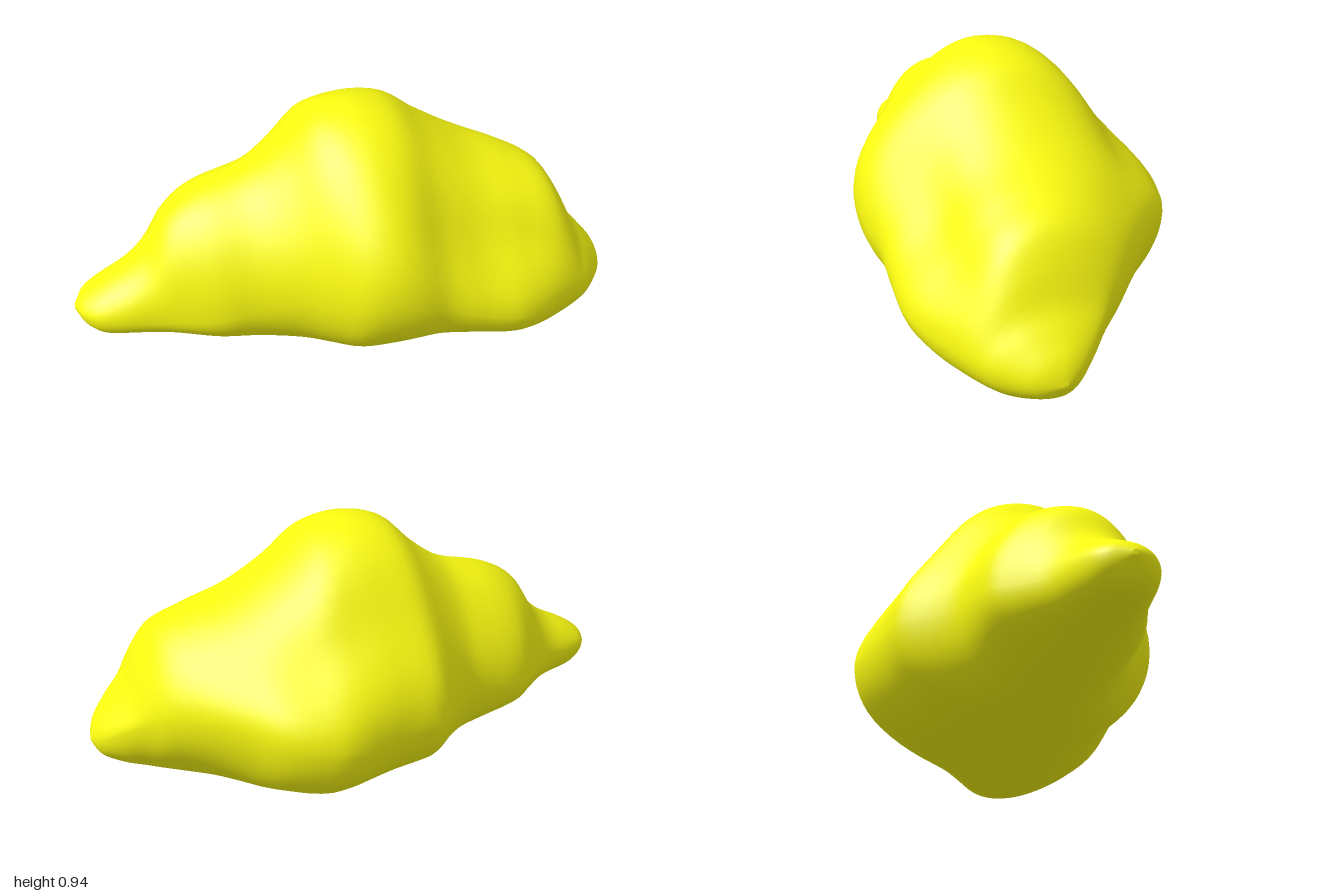
import * as THREE from 'three';

// Outline curves along the length: pairs of [x, value]
const top = [[-1, .265], [-.97, .3], [-.9, .345], [-.8, .4], [-.72, .475], [-.65, .585], [-.53, .66], [-.36, .71], [-.3, .74], [-.2, .82],
  [-.12, .9], [-.05, .93], [.04, .94], [.12, .93], [.2, .9], [.3, .82], [.42, .74], [.5, .7], [.62, .655], [.75, .59], [.82, .48],
  [.86, .385], [.92, .31], [.97, .25], [.99, .21], [1, .172]];
const bottom = [[-1, .245], [-.96, .19], [-.9, .155], [-.8, .145], [-.65, .125], [-.5, .085], [-.35, .05], [-.2, .025], [0, .003],
  [.2, .01], [.3, .01], [.4, .02], [.6, .015], [.72, .015], [.86, .045], [.95, .09], [.98, .12], [1, .162]];
const back = [[-1, .07], [-.97, 0], [-.92, -.04], [-.75, -.11], [-.65, -.19], [-.57, -.255], [-.4, -.29], [-.33, -.31], [-.25, -.37],
  [-.15, -.47], [-.1, -.485], [0, -.5], [.1, -.525], [.2, -.55], [.28, -.55], [.43, -.495], [.55, -.39], [.68, -.275], [.77, -.19],
  [.83, -.115], [.9, -.04], [.96, .03], [.985, .07], [1, .11]];
const front = [[-1, .09], [-.97, .15], [-.9, .2], [-.7, .24], [-.5, .31], [-.35, .335], [-.2, .39], [-.1, .46], [-.02, .52], [.08, .545],
  [.18, .54], [.28, .515], [.4, .515], [.55, .51], [.65, .475], [.75, .42], [.85, .36], [.9, .32], [.97, .23], [.99, .18], [1, .13]];
// Height of the widest point at the front and back
const frontHeight = [[-1, .255], [-.7, .25], [-.4, .3], [0, .42], [.1, .42], [.25, .36], [.45, .28], [.65, .23], [.85, .2], [1, .167]];
const backHeight = [[-1, .255], [-.7, .27], [-.4, .32], [0, .34], [.25, .33], [.6, .38], [.75, .36], [.85, .3], [.92, .24], [1, .167]];
// z of the crest and of the lowest line
const crest = [[-1, .08], [-.7, .06], [-.4, .02], [0, .03], [.3, .02], [.6, .04], [.8, .09], [1, .12]];
const keel = [[-1, .08], [-.7, .06], [-.4, .02], [0, 0], [.25, -.1], [.45, -.04], [.6, .06], [.8, .14], [1, .12]];
// How much the upper slopes are drawn in, and hollowed low down at the front and back
const pinch = [[-1, 0], [-.5, .02], [0, .06], [.3, .06], [.6, .03], [.85, 0], [1, 0]];
const frontHollow = [[-1, 0], [0, 0], [.15, .01], [.3, .08], [.48, .15], [.65, .14], [.9, .03], [1, 0]];
const backHollow = [[-1, 0], [-.5, .01], [0, .08], [.25, .12], [.55, .04], [.8, 0], [1, 0]];
// How much the underside at the back is flattened
const underPinch = [[-1, -.02], [.2, -.03], [.45, 0], [.7, .08], [.9, .03], [1, 0]];

// Smooth interpolation through the pairs
function sample(curve, x) {
  const n = curve.length - 1;
  let i = 0;
  while (i < n - 1 && x > curve[i + 1][0]) i++;
  const slope = (a, b) => (curve[b][1] - curve[a][1]) / (curve[b][0] - curve[a][0]);
  const tangent = k => slope(Math.max(k - 1, 0), Math.min(k + 1, n));
  const h = curve[i + 1][0] - curve[i][0];
  const t = (x - curve[i][0]) / h, t2 = t * t, t3 = t2 * t;
  return (2 * t3 - 3 * t2 + 1) * curve[i][1] + (t3 - 2 * t2 + t) * h * tangent(i)
    + (3 * t2 - 2 * t3) * curve[i + 1][1] + (t3 - t2) * h * tangent(i + 1);
}

// One point of the rounded cross-section at x
function sectionPoint(x, angle) {
  const c = Math.cos(angle), s = Math.sin(angle);
  const isFront = c >= 0, isTop = s >= 0;
  const midZ = sample(isTop ? crest : keel, x);
  const sideZ = sample(isFront ? front : back, x);
  const yEdge = sample(isTop ? top : bottom, x);
  // Blend the two side heights across the section
  const w = (c + 1) / 2;
  const midY = sample(frontHeight, x) * w + sample(backHeight, x) * (1 - w);
  // Draw in or fill out the diagonals of the section
  let inset = isFront ? -.02 : sample(underPinch, x);
  if (isTop) inset = sample(pinch, x) + sample(isFront ? frontHollow : backHollow, x) * 1.5 * c * c;
  const r = 1 - inset * Math.sin(2 * angle) ** 2;
  return [x, midY + (yEdge - midY) * Math.abs(s) * r, midZ + (sideZ - midZ) * Math.abs(c) * r];
}

function bodyGeometry(rings = 96, sides = 72) {
  const positions = [], index = [];
  for (let i = 0; i <= rings; i++) {
    const x = -Math.cos(Math.PI * i / rings);
    for (let j = 0; j < sides; j++) positions.push(...sectionPoint(x, j / sides * Math.PI * 2));
  }
  for (let i = 0; i < rings; i++) {
    for (let j = 0; j < sides; j++) {
      const k = (j + 1) % sides;
      const a = i * sides + j, b = a + sides, c = i * sides + k, d = c + sides;
      index.push(a, b, c, b, d, c);
    }
  }
  // Close both tips
  const left = positions.length / 3, right = left + 1, last = rings * sides;
  positions.push(-1, .255, .08, 1, .167, .12);
  for (let j = 0; j < sides; j++) {
    const k = (j + 1) % sides;
    index.push(left, j, k, right, last + k, last + j);
  }
  const geometry = new THREE.BufferGeometry();
  geometry.setAttribute('position', new THREE.Float32BufferAttribute(positions, 3));
  geometry.setIndex(index);
  geometry.computeVertexNormals();
  return geometry;
}

export function createModel() {
  const group = new THREE.Group();
  group.name = 'cloud';
  const body = new THREE.Mesh(bodyGeometry(), new THREE.MeshStandardMaterial({ color: 0xfcfc11 }));
  body.name = 'cloudBody';
  group.add(body);
  return group;
}
